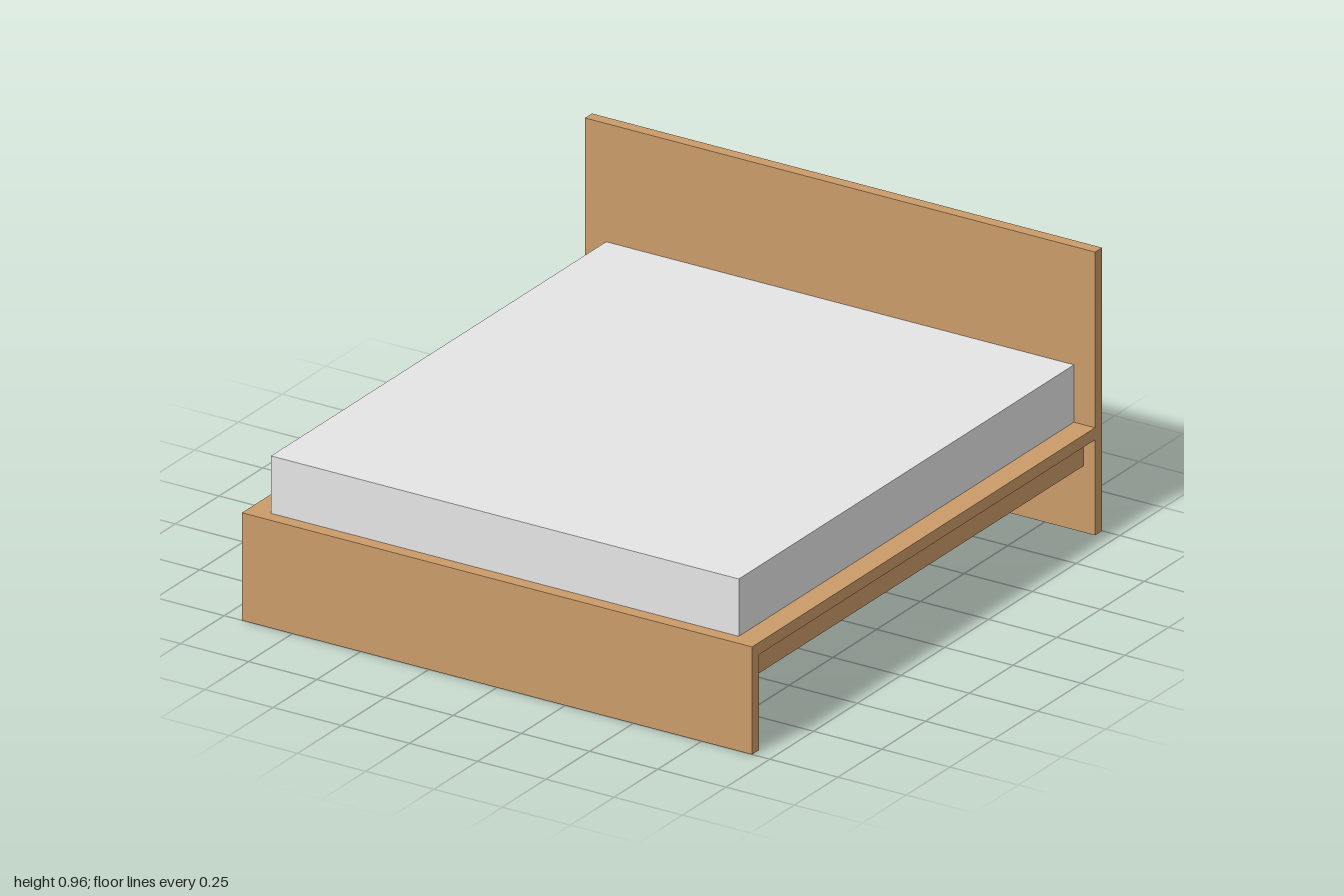
import * as THREE from 'three';

export function createModel() {
  const bed = new THREE.Group();
  bed.name = 'bed';

  const wood = new THREE.MeshStandardMaterial({ color: 0xcb9b69 });
  wood.name = 'oak wood';
  const fabric = new THREE.MeshStandardMaterial({ color: 0xe5e5e5 });
  fabric.name = 'pale grey fabric';

  const halfWidth = 0.935;
  const board = 0.04; // board thickness
  const deckTop = 0.364;
  const deckBottom = 0.323;
  const innerLength = 2 - 2 * board;
  const railInner = 0.855;
  const railOuter = 0.892;

  // Box standing on y = bottom, centred on x and z
  function addBox(name, material, width, height, depth, x, bottom, z) {
    const mesh = new THREE.Mesh(new THREE.BoxGeometry(width, height, depth), material);
    mesh.name = name;
    mesh.position.set(x, bottom + height / 2, z);
    bed.add(mesh);
  }

  // End boards reaching the floor
  addBox('headboard', wood, 2 * halfWidth, 0.958, board, 0, 0, -1 + board / 2);
  addBox('footboard', wood, 2 * halfWidth, deckTop, board, 0, 0, 1 - board / 2);

  // Deck between the end boards
  addBox('deck', wood, 2 * halfWidth, deckTop - deckBottom, innerLength, 0, deckBottom, 0);

  // Inset rails below the deck
  for (const side of [-1, 1]) {
    const x = side * (railInner + railOuter) / 2;
    addBox(side > 0 ? 'leftRail' : 'rightRail', wood, railOuter - railInner, deckBottom - 0.224, innerLength, x, 0.224, 0);
  }

  // Mattress base held between the rails
  addBox('mattressBase', wood, 2 * railInner, deckBottom - 0.275, innerLength, 0, 0.275, 0);

  // Mattress, stopping just short of the footboard
  addBox('mattress', fabric, 1.715, 0.194, 1.915, 0, deckTop, -0.0025);

  return bed;
}
